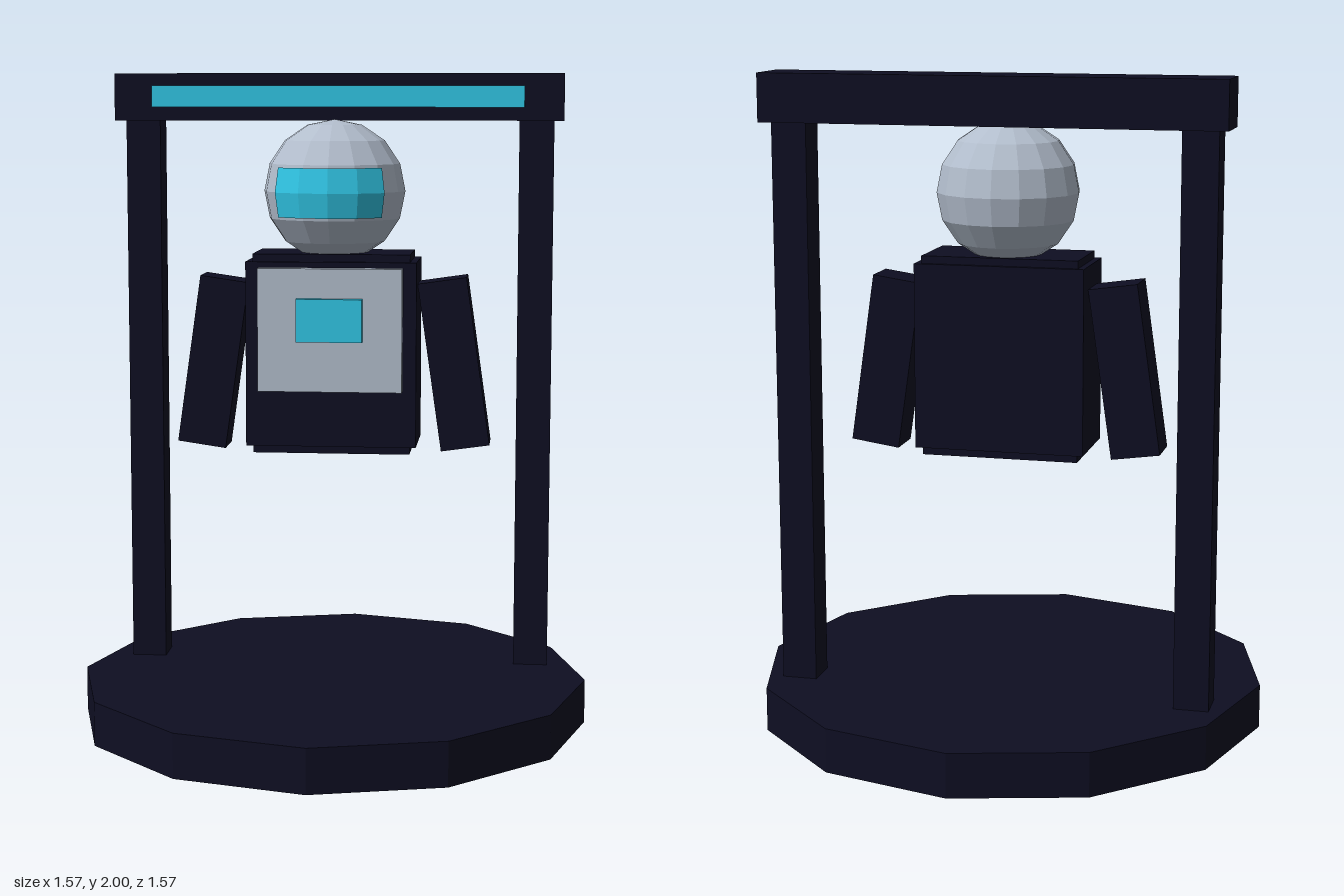
import * as THREE from 'three';

export function createModel() {
  const model = new THREE.Group();
  model.name = 'robotBustInFrame';

  const material = (name, color, extra = {}) => {
    const m = new THREE.MeshStandardMaterial({ color, flatShading: true, ...extra });
    m.name = name;
    return m;
  };
  const navy = material('darkNavy', 0x0e0e22);
  const grey = material('paleGrey', 0xb2bdcc);
  const cyan = material('glowCyan', 0x31c6e6, { side: THREE.DoubleSide });

  const add = (name, geometry, mat, x, y, z) => {
    const mesh = new THREE.Mesh(geometry, mat);
    mesh.name = name;
    mesh.position.set(x, y, z);
    model.add(mesh);
    return mesh;
  };
  const box = (name, mat, w, h, d, x, y, z) =>
    add(name, new THREE.BoxGeometry(w, h, d), mat, x, y, z);

  // Twelve-sided base
  add('base', new THREE.CylinderGeometry(0.785, 0.785, 0.135, 12), navy, 0, 0.0675, 0);

  // Gantry: posts, beam and light strip
  const frameZ = -0.22;
  for (const side of [1, -1]) {
    box(side > 0 ? 'leftPost' : 'rightPost', navy, 0.107, 1.74, 0.107, side * 0.614, 1.0, frameZ);
  }
  box('topBeam', navy, 1.395, 0.145, 0.174, 0, 1.9275, frameZ);
  box('lightStrip', cyan, 1.152, 0.066, 0.03, 0, 1.929, -0.119);

  // Torso: a wide block and a taller, slimmer core give the stepped edges
  const bodyZ = -0.05;
  box('torso', navy, 0.52, 0.564, 0.26, 0, 1.151, bodyZ);
  box('torsoCore', navy, 0.48, 0.61, 0.235, 0, 1.151, bodyZ);

  // Chest plate and screen
  box('chestPlate', grey, 0.438, 0.374, 0.045, 0, 1.229, 0.096);
  box('chestScreen', cyan, 0.2, 0.13, 0.03, 0, 1.261, 0.129);

  // Arms splayed outwards
  for (const side of [1, -1]) {
    const arm = box(side > 0 ? 'leftArm' : 'rightArm', navy,
      0.15, 0.52, 0.13, side * 0.371, 1.117, bodyZ);
    arm.rotation.z = side * 0.143;
  }

  // Head and curved visor
  const headY = 1.643;
  add('head', new THREE.SphereGeometry(0.217, 16, 8), grey, 0, headY, bodyZ);
  add('visor', new THREE.SphereGeometry(0.23, 4, 2,
    Math.PI / 2 - 0.8, 1.6, Math.PI / 2 - 0.33, 0.66), cyan, 0, headY, bodyZ);

  return model;
}
